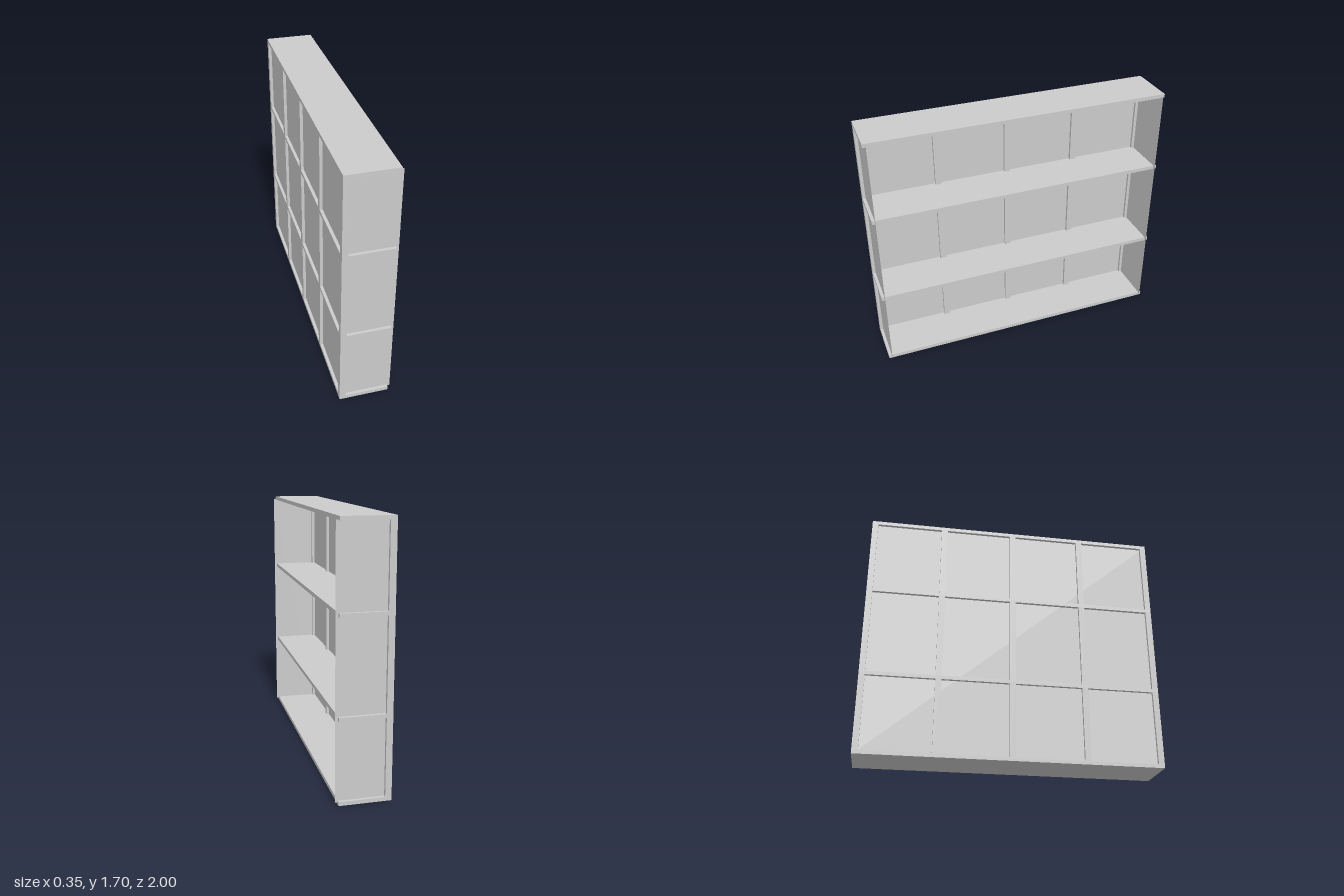
import * as THREE from 'three';

export function createModel() {
  const model = new THREE.Group();
  const solid = new THREE.MeshStandardMaterial({ color: 0xcccccc, flatShading: true });
  const sheet = new THREE.MeshStandardMaterial({ color: 0xcccccc, side: THREE.DoubleSide });

  const back = -0.173, shelfFront = 0.155, panelFront = 0.173;
  const post = 0.04, board = 0.025;
  const shelfY = [0, 0.524, 1.135, 1.671]; // undersides of the boards

  function add(name, geometry, material, x, y, z) {
    const mesh = new THREE.Mesh(geometry, material);
    mesh.name = name;
    mesh.position.set(x, y, z);
    model.add(mesh);
    return mesh;
  }

  // Bottom, two shelves and top, running the full length
  const depth = shelfFront - back;
  const names = ['bottomBoard', 'lowerShelf', 'upperShelf', 'topBoard'];
  shelfY.forEach((y, i) => {
    add(names[i], new THREE.BoxGeometry(depth, board, 2), solid,
      back + depth / 2, y + board / 2, 0);
  });

  // Square posts along the back, between each pair of boards
  for (let level = 0; level < 3; level++) {
    const y0 = shelfY[level] + board, y1 = shelfY[level + 1];
    for (let i = -2; i <= 2; i++) {
      add('backPost', new THREE.BoxGeometry(post, y1 - y0, post), solid,
        back + post / 2, (y0 + y1) / 2, i * 0.49);
    }
  }

  // Thin sheets set into the middle of the posts: back and both ends
  const low = 0.015, high = 1.677, mid = back + post / 2;
  const height = high - low, centreY = (low + high) / 2;
  add('backPanel', new THREE.PlaneGeometry(1.96, height), sheet, mid, centreY, 0)
    .rotation.y = -Math.PI / 2;
  for (const side of [1, -1]) {
    add('endPanel', new THREE.PlaneGeometry(panelFront - mid, height), sheet,
      (mid + panelFront) / 2, centreY, side * 0.98);
  }
  return model;
}
